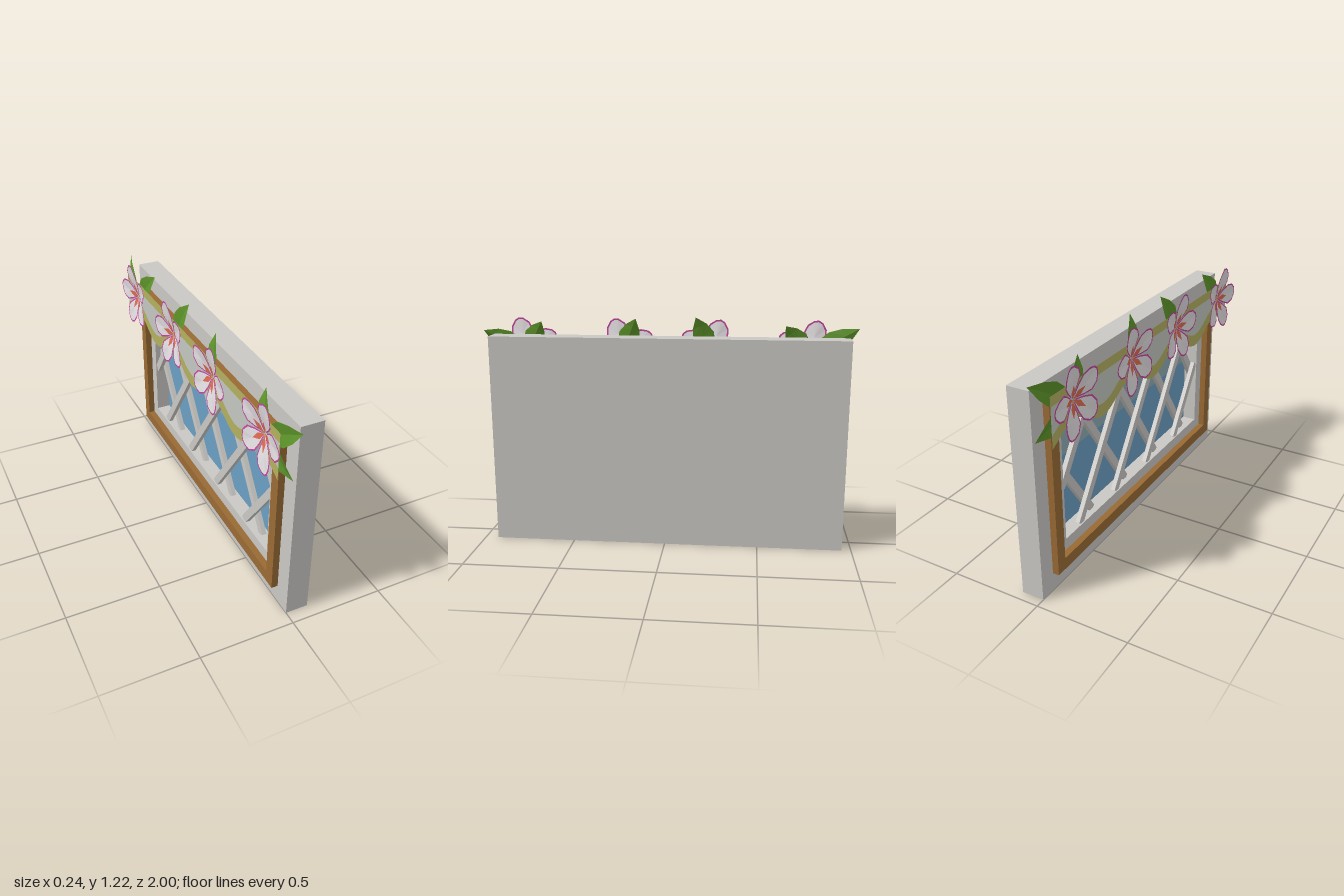
import * as THREE from 'three';

const mat = (name, color, double) => {
  const m = new THREE.MeshStandardMaterial({ color });
  m.name = name;
  if (double) m.side = THREE.DoubleSide;
  return m;
};

const M = {
  wall: mat('stone grey', 0xcac8c4),
  wood: mat('brown wood', 0x996a34),
  upperGlass: mat('pale glass', 0x8fabb3),
  glass: mat('blue glass', 0x6c9fc4),
  cloth: mat('pale cloth', 0xc3c7c0, true),
  trim: mat('olive trim', 0xb3b060, true),
  petal: mat('petal white', 0xe2dde0, true),
  rim: mat('magenta', 0xc2459f, true),
  throat: mat('coral red', 0xdb6a50, true),
  leaf: mat('leaf green', 0x5c9229, true),
};

// Everything is built facing +z (u across, y up, d outward) and turned to face -x at the end.
function add(parent, geometry, material, name) {
  const mesh = new THREE.Mesh(geometry, material);
  mesh.name = name;
  parent.add(mesh);
  return mesh;
}

// Flat-shaded surface through rows of points
function sheet(rows) {
  const out = [];
  for (let i = 0; i < rows.length - 1; i++) {
    for (let j = 0; j < rows[i].length - 1; j++) {
      const a = rows[i][j], b = rows[i][j + 1], c = rows[i + 1][j + 1], d = rows[i + 1][j];
      out.push(...a, ...b, ...c, ...a, ...c, ...d);
    }
  }
  const g = new THREE.BufferGeometry();
  g.setAttribute('position', new THREE.Float32BufferAttribute(out, 3));
  g.computeVertexNormals();
  return g;
}

// Rectangular ring, boxes given as [u0, y0, u1, y1]
function ring(o, h, depth) {
  const corners = ([a, b, c, d]) => [[a, b], [c, b], [c, d], [a, d]].map(p => new THREE.Vector2(...p));
  const s = new THREE.Shape(corners(o));
  s.holes.push(new THREE.Path(corners(h).reverse()));
  return new THREE.ExtrudeGeometry(s, { depth, bevelEnabled: false });
}

const OPEN = [-0.735, 0.225, 0.71, 0.905];

function pane(y0, y1) {
  const g = new THREE.PlaneGeometry(OPEN[2] - OPEN[0], y1 - y0);
  return g.translate((OPEN[0] + OPEN[2]) / 2, (y0 + y1) / 2, -0.078);
}

// Diagonal slats clipped to the opening
function lattice() {
  const group = new THREE.Group();
  group.name = 'lattice';
  const slope = 1.45, [u0, y0, u1, y1] = OPEN;
  for (const side of [1, -1]) {
    for (let k = -2; k < 4; k++) {
      const foot = side * (-0.245 + 0.345 * k);
      const at = u => y0 + side * slope * (u - foot);
      const ends = [foot, foot + side * (y1 - y0) / slope].map(u => Math.min(u1, Math.max(u0, u)));
      const a = new THREE.Vector2(ends[0], at(ends[0])), b = new THREE.Vector2(ends[1], at(ends[1]));
      if (a.distanceTo(b) < 0.05) continue;
      const bar = add(group, new THREE.BoxGeometry(a.distanceTo(b), 0.042, 0.024), M.wall, 'slat');
      bar.position.set((a.x + b.x) / 2, (a.y + b.y) / 2, side > 0 ? -0.018 : -0.043);
      bar.rotation.z = Math.atan2(b.y - a.y, b.x - a.x);
    }
  }
  return group;
}

// Scalloped valance with trimmed top and hem
function valance() {
  const group = new THREE.Group();
  group.name = 'valance';
  const hem = u => 0.87 - 0.045 * Math.cos(4 * Math.PI * u);
  const row = f => Array.from({ length: 61 }, (_, i) => {
    const u = -0.92 + 1.83 * i / 60;
    return [u, f(u), 0.085];
  });
  const band = (f, g, material, name) => add(group, sheet([row(f), row(g)]), material, name);
  band(hem, u => hem(u) + 0.065, M.trim, 'hem');
  band(u => hem(u) + 0.065, () => 1.05, M.cloth, 'cloth');
  band(() => 1.05, () => 1.1, M.trim, 'topTrim');
  return group;
}

// Petal: coloured rim, faceted body and throat streak, flaring outward
function petal() {
  const group = new THREE.Group();
  group.name = 'petal';
  const half = [[0.008, 0.004], [0.06, 0.04], [0.105, 0.062], [0.15, 0.052], [0.18, 0.024]];
  const outline = [...half.map(([u, v]) => [v, u]), [0, 0.188], ...half.map(([u, v]) => [-v, u]).reverse()];
  outline.push(outline[0]);
  const flare = u => 0.08 + 0.036 * Math.min(1, u / 0.13);
  const lift = ([v, u]) => [v, u, flare(u)];
  const outer = outline.map(lift);
  const inner = outline.map(([v, u]) => lift([v * 0.86, 0.1 + (u - 0.1) * 0.9]));
  add(group, sheet([outer, inner]), M.rim, 'petalEdge');
  add(group, sheet([inner, inner.map(() => [0, 0.1, flare(0.1) - 0.004])]), M.petal, 'petalFace');
  const streak = [[0, 0], [0.016, 0.045], [0, 0.085], [-0.016, 0.045]].map(([v, u]) => [v, u, flare(u) + 0.004]);
  add(group, sheet([[streak[0], streak[1]], [streak[3], streak[2]]]), M.throat, 'throat');
  return group;
}

// Folded leaf curving back from the flower to a tip at (du, dy)
function leaf(du, dy) {
  const length = Math.hypot(du, dy), nx = -dy / length, ny = du / length;
  const widths = [0.012, 0.045, 0.058, 0.04, 0];
  const rows = widths.map((w, i) => {
    const t = i / 4, d = 0.075 - 0.04 * t * t;
    return [-1, 0, 1].map(s => [
      du * t + nx * w * s, dy * t + ny * w * s, d + (s ? Math.min(w * 0.25, 0.012) : 0) - 0.005,
    ]);
  });
  return sheet(rows);
}

export function createModel() {
  const model = new THREE.Group();
  model.name = 'floweredWindow';
  const face = new THREE.Group();
  face.name = 'windowWall';
  face.rotation.y = -Math.PI / 2;
  model.add(face);

  // Wall with recess
  add(face, ring([-0.95, 0, 0.93, 1.12], OPEN, 0.08).translate(0, 0, -0.08), M.wall, 'wall');
  add(face, new THREE.BoxGeometry(1.88, 1.12, 0.04).translate(-0.01, 0.56, -0.1), M.wall, 'wallBack');

  // Wooden frame and glass
  add(face, ring([-0.86, 0.1, 0.835, 1.03], [-0.8, 0.163, 0.775, 0.967], 0.035), M.wood, 'frame');
  add(face, pane(OPEN[1], 0.62), M.glass, 'lowerGlass');
  add(face, pane(0.62, OPEN[3]), M.upperGlass, 'upperGlass');
  face.add(lattice(), valance());

  // Flowers: position, tilt, leaf tips
  const flowers = [
    [-0.75, -15, [[0.13, 0.16], [-0.25, 0.15], [-0.22, -0.13]]],
    [-0.23, -16, [[0.08, 0.2], [-0.18, -0.05]]],
    [0.25, 15, [[-0.08, 0.19], [0.18, -0.05]]],
    [0.78, 15, [[-0.1, 0.17], [0.22, 0.12], [0.17, -0.16]]],
  ];
  for (const [u, tilt, tips] of flowers) {
    const flower = new THREE.Group();
    flower.name = 'flower';
    flower.position.set(u, 1.015, 0);
    for (let i = 0; i < 5; i++) {
      const p = petal();
      p.rotation.z = -THREE.MathUtils.degToRad(tilt + 72 * i);
      flower.add(p);
    }
    for (const [du, dy] of tips) add(flower, leaf(du, dy), M.leaf, 'leaf');
    face.add(flower);
  }
  return model;
}
